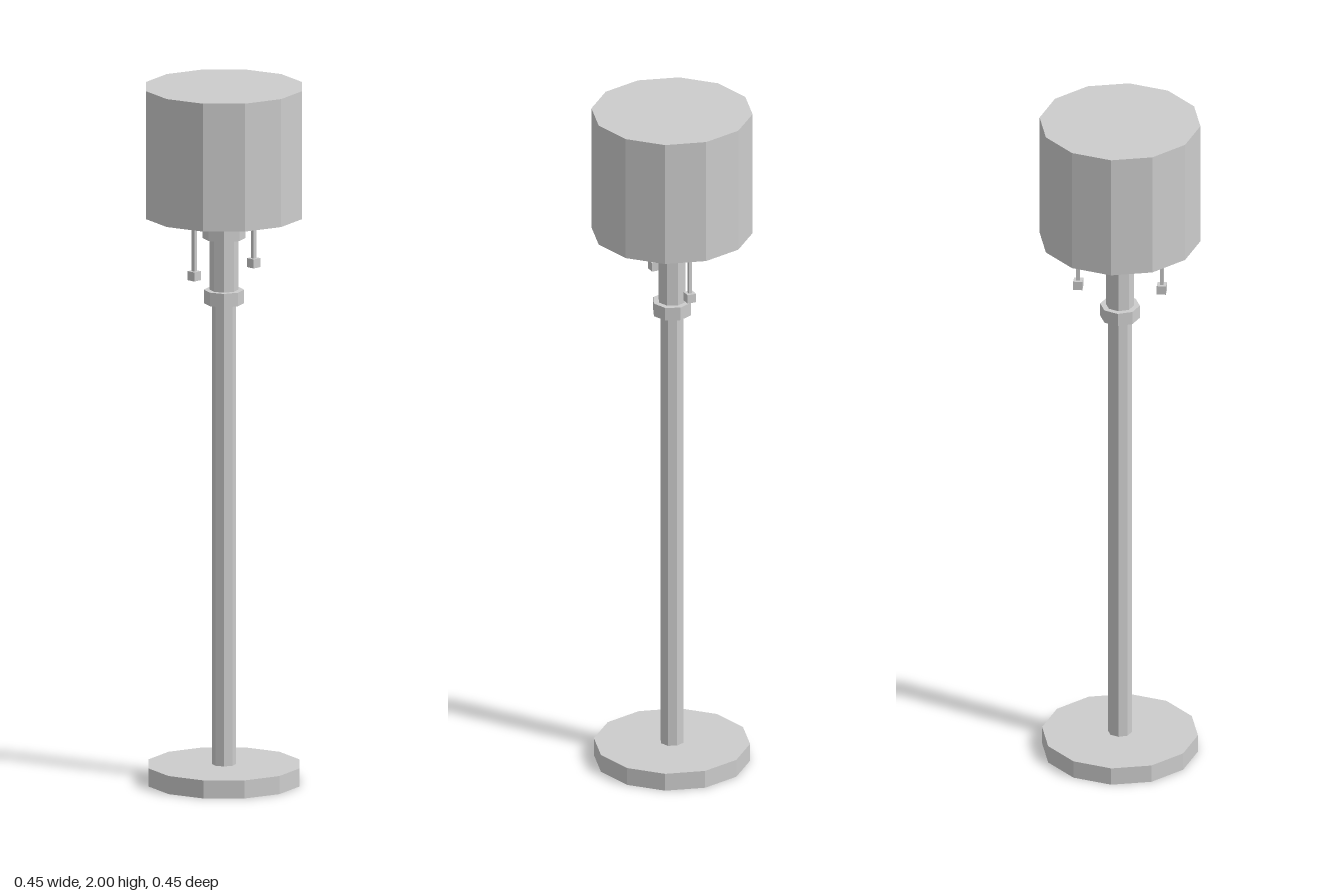
import * as THREE from 'three';

export function createModel() {
  const model = new THREE.Group();
  model.name = 'floorLamp';
  const grey = new THREE.MeshStandardMaterial({ color: 0xcccccc, flatShading: true });
  grey.name = 'lightGrey';

  const add = (name, geometry, x, y) => {
    const mesh = new THREE.Mesh(geometry, grey);
    mesh.name = name;
    mesh.position.set(x, y, 0);
    model.add(mesh);
  };
  // Upright prism between two heights
  const prism = (name, radius, bottom, top, sides, x = 0) =>
    add(name, new THREE.CylinderGeometry(radius, radius, top - bottom, sides), x, (bottom + top) / 2);

  // Base, pole and fittings
  prism('base', 0.22, 0, 0.052, 12);
  prism('pole', 0.034, 0.052, 1.377, 8);
  prism('poleCollar', 0.056, 1.377, 1.416, 8);
  prism('neck', 0.04, 1.416, 1.565, 8);
  prism('shadeCollar', 0.061, 1.565, 1.632, 8);

  // Closed drum shade
  prism('shade', 0.227, 1.632, 2, 12);

  // Pull cords on both sides, each with a small cube weight
  for (const [side, x] of [['left', 0.118], ['right', -0.118]]) {
    add(side + 'PullCord', new THREE.BoxGeometry(0.01, 0.147, 0.01), x, 1.5605);
    add(side + 'PullWeight', new THREE.BoxGeometry(0.026, 0.026, 0.026), x, 1.475);
  }
  return model;
}
